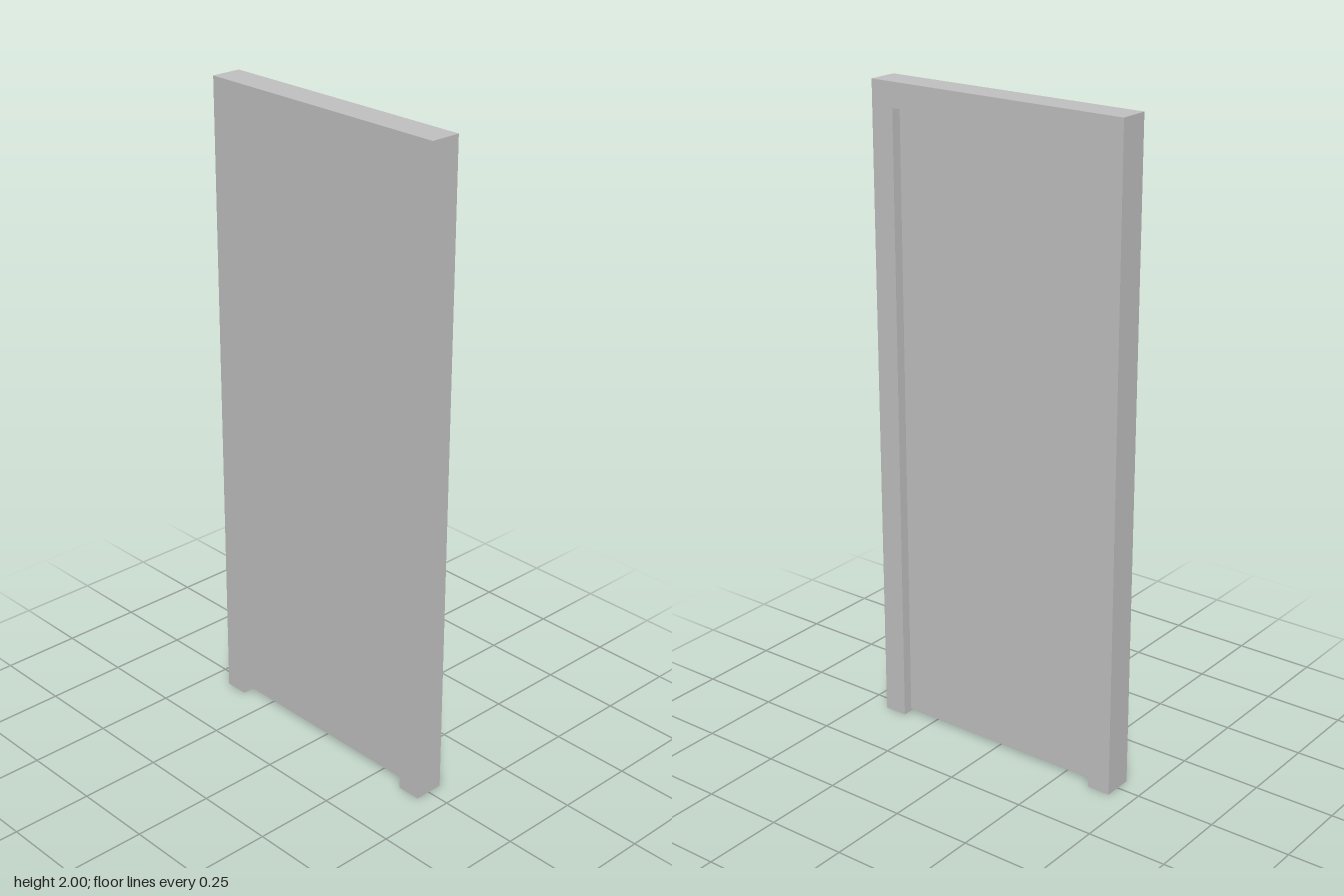
import * as THREE from 'three';

export function createModel() {
  const group = new THREE.Group();
  const grey = new THREE.MeshStandardMaterial({ color: 0xc0c0c0 });
  grey.name = 'plain grey';

  const halfWidth = 0.426, height = 2, depth = 0.094;
  const openX = 0.352, openTop = 1.926;

  // Door frame: two jambs and a head in one upside-down U
  const outline = new THREE.Shape([
    [-halfWidth, 0], [-openX, 0], [-openX, openTop], [openX, openTop],
    [openX, 0], [halfWidth, 0], [halfWidth, height], [-halfWidth, height],
  ].map(([x, y]) => new THREE.Vector2(x, y)));
  const frameGeometry = new THREE.ExtrudeGeometry(outline, { depth, bevelEnabled: false });
  frameGeometry.translate(0, 0, -depth / 2);
  const frame = new THREE.Mesh(frameGeometry, grey);
  frame.name = 'doorFrame';
  group.add(frame);

  // Door leaf: recessed on both sides, with a narrow gap to the frame and floor
  const gap = 0.003, leafBottom = 0.01, leafDepth = 0.038;
  const leafHeight = openTop - gap - leafBottom;
  const leaf = new THREE.Mesh(
    new THREE.BoxGeometry(2 * (openX - gap), leafHeight, leafDepth), grey);
  leaf.position.y = leafBottom + leafHeight / 2;
  leaf.name = 'doorLeaf';
  group.add(leaf);

  return group;
}
